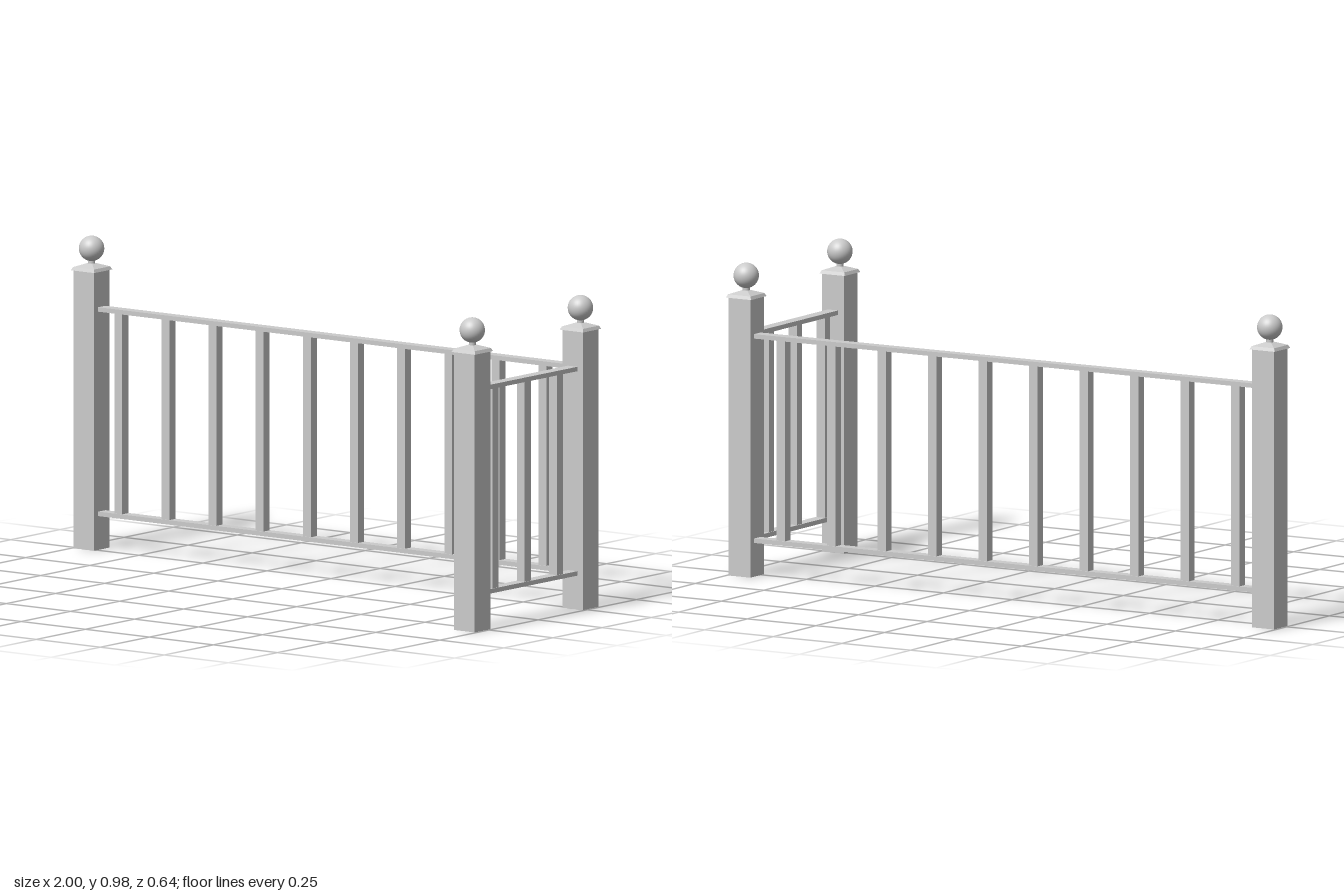
import * as THREE from 'three';

const material = new THREE.MeshStandardMaterial({ color: 0xcccccc });
const flatMaterial = new THREE.MeshStandardMaterial({ color: 0xcccccc, flatShading: true });

const POST_X = 0.954, POST_Z = 0.275, POST_W = 0.08;
const RAIL_W = 0.037, RAIL_H = 0.014, RAIL_LOW = 0.113, RAIL_HIGH = 0.754;
const BALUSTER_W = 0.031;

function add(parent, name, geometry, x, y, z, mat = material) {
  const mesh = new THREE.Mesh(geometry, mat);
  mesh.name = name;
  mesh.position.set(x, y, z);
  parent.add(mesh);
  return mesh;
}

// Square post with a shallow hipped cap, a short neck and a ball finial
function createPost(name, x, z) {
  const post = new THREE.Group();
  post.name = name;
  post.position.set(x, 0, z);
  add(post, 'postShaft', new THREE.BoxGeometry(POST_W, 0.874, POST_W), 0, 0.437, 0);

  // Four-sided lathe: half widths become corner radii
  const profile = [[0, 0.872], [0.046, 0.872], [0.041, 0.882], [0.011, 0.893], [0, 0.893]]
    .map(([half, y]) => new THREE.Vector2(half * Math.SQRT2, y));
  add(post, 'postCap', new THREE.LatheGeometry(profile, 4, Math.PI / 4), 0, 0, 0, flatMaterial);

  add(post, 'finialNeck', new THREE.CylinderGeometry(0.011, 0.011, 0.026, 24), 0, 0.901, 0);
  add(post, 'finialBall', new THREE.SphereGeometry(0.0395, 32, 24), 0, 0.9395, 0);
  return post;
}

// Railing panel built along local x: two rails joined by evenly spaced balusters
function createPanel(name, length, firstBaluster, spacing, count) {
  const panel = new THREE.Group();
  panel.name = name;
  const rail = new THREE.BoxGeometry(length, RAIL_H, RAIL_W);
  add(panel, 'bottomRail', rail, 0, RAIL_LOW, 0);
  add(panel, 'topRail', rail, 0, RAIL_HIGH, 0);

  const height = RAIL_HIGH - RAIL_LOW - RAIL_H;
  const baluster = new THREE.BoxGeometry(BALUSTER_W, height, BALUSTER_W);
  for (let i = 0; i < count; i++) {
    add(panel, 'baluster', baluster, firstBaluster + i * spacing, (RAIL_LOW + RAIL_HIGH) / 2, 0);
  }
  return panel;
}

export function createModel() {
  const model = new THREE.Group();
  model.name = 'cornerRailing';

  model.add(
    createPost('endPost', -POST_X, -POST_Z),
    createPost('cornerPost', POST_X, -POST_Z),
    createPost('frontPost', POST_X, POST_Z),
  );

  // Long panel across the back
  const backPanel = createPanel('backPanel', 2 * POST_X - POST_W, -0.838, 0.184, 10);
  backPanel.position.z = -POST_Z;

  // Short panel on the left side, turned so its local x runs towards the back
  const sidePanel = createPanel('sidePanel', 2 * POST_Z - POST_W, -0.177, 0.164, 3);
  sidePanel.rotation.y = Math.PI / 2;
  sidePanel.position.x = POST_X;

  model.add(backPanel, sidePanel);
  return model;
}
